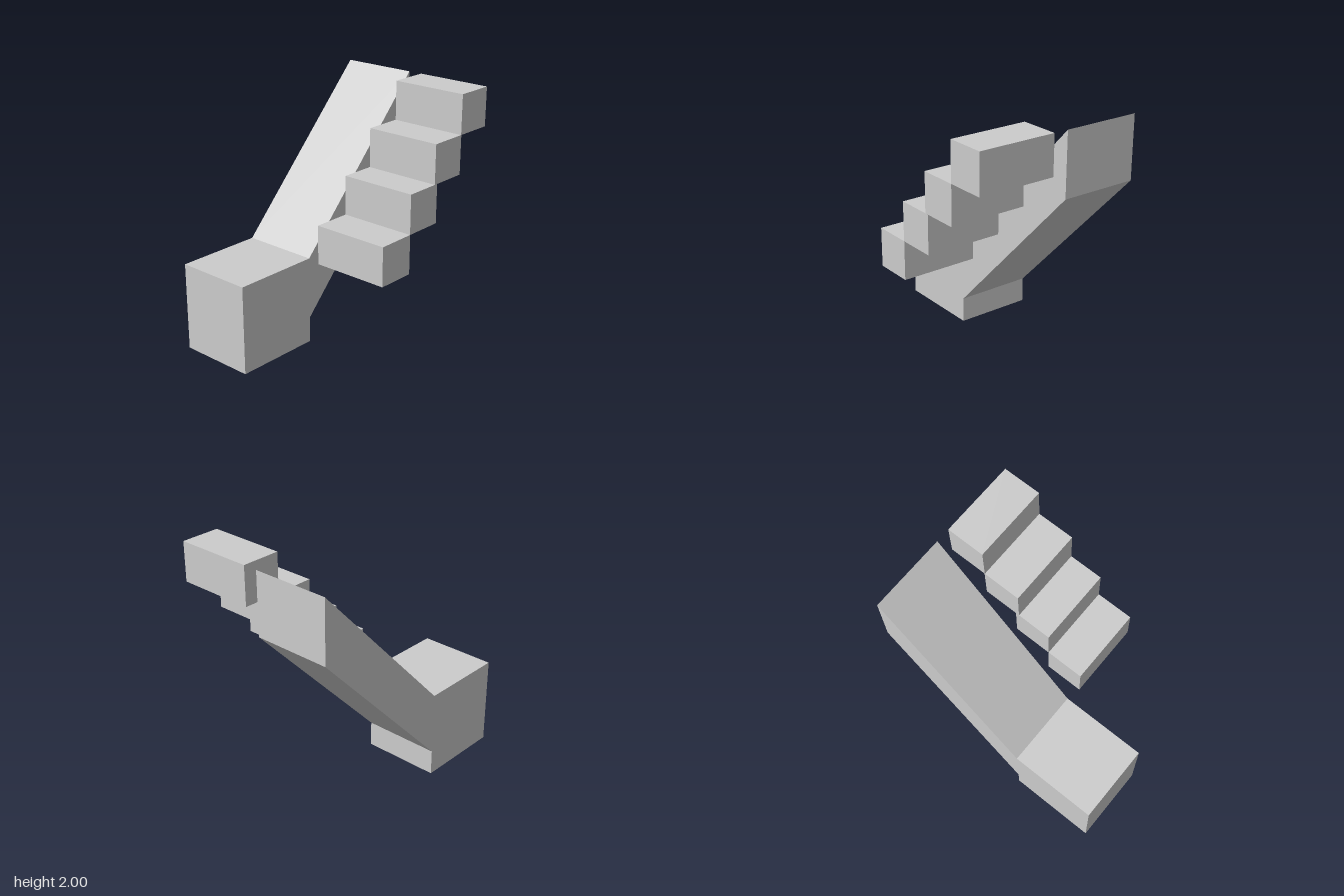
import * as THREE from 'three';

export function createModel() {
  const group = new THREE.Group();
  const material = new THREE.MeshStandardMaterial({ color: 0xcccccc, flatShading: true });
  const width = 0.64;

  // Landing block and sloped ramp: one side profile (z, y) extruded across x
  const profile = new THREE.Shape([
    [0.97, 0], [0.97, 0.725], [0.25, 0.725], [-0.97, 2],
    [-0.97, 1.485], [0.25, 0.21], [0.25, 0],
  ].map(([z, y]) => new THREE.Vector2(-z, y)));
  const rampGeometry = new THREE.ExtrudeGeometry(profile, { depth: width, bevelEnabled: false });
  rampGeometry.rotateY(Math.PI / 2); // profile -z axis to world z, depth to +x
  const ramp = new THREE.Mesh(rampGeometry, material);
  ramp.name = 'ramp';
  ramp.position.x = -0.70;
  group.add(ramp);

  // Four floating steps beside the ramp
  const size = 0.32;
  const stepGeometry = new THREE.BoxGeometry(width, size, size);
  const frontEdges = [0.275, -0.043, -0.333, -0.65];
  frontEdges.forEach((z, i) => {
    const step = new THREE.Mesh(stepGeometry, material);
    step.name = `step${i + 1}`;
    step.position.set(0.38, 0.72 + size * (i + 0.5), z - size / 2);
    group.add(step);
  });

  return group;
}
